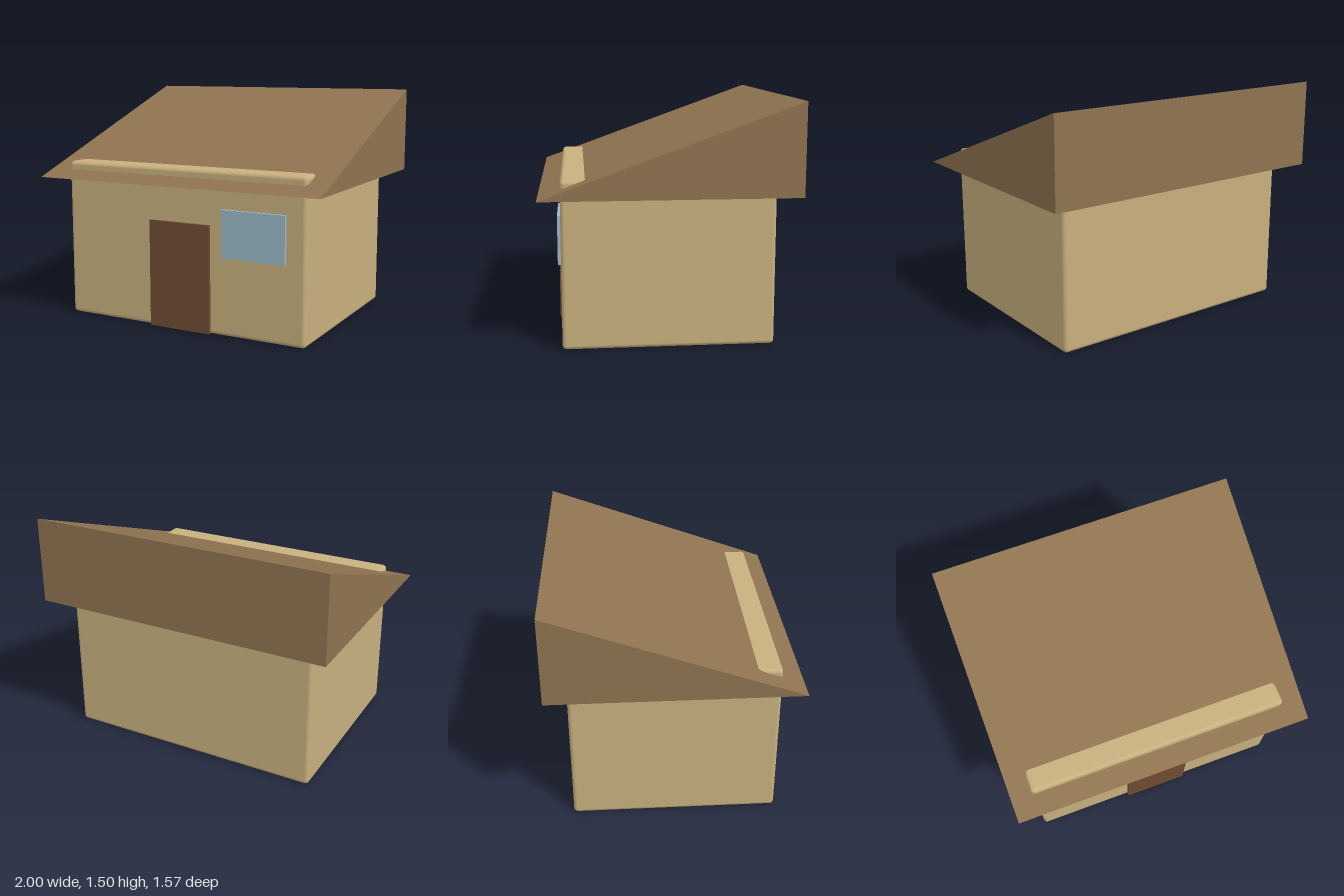
import * as THREE from 'three';
import { RoundedBoxGeometry } from 'three/addons/geometries/RoundedBoxGeometry.js';

const material = (name, color) => {
  const m = new THREE.MeshStandardMaterial({ color });
  m.name = name;
  return m;
};

export function createModel() {
  const plaster = material('sandPlaster', 0xc8b07e);
  const timber = material('roofBrown', 0x8f7350);
  const doorWood = material('darkDoorWood', 0x704b32);
  const glass = material('paleBlueGlass', 0x9ab8c8);

  const group = new THREE.Group();
  group.name = 'house';
  const add = (name, geometry, mat, x = 0, y = 0, z = 0) => {
    const mesh = new THREE.Mesh(geometry, mat);
    mesh.name = name;
    mesh.position.set(x, y, z);
    group.add(mesh);
  };

  // Soft-edged wall block; its top front edge pokes through the roof
  add('walls', new RoundedBoxGeometry(1.73, 1.04, 1.3, 3, 0.026), plaster, 0, 0.52, 0);

  // Wedge roof, low at the front and high at the back
  const profile = new THREE.Shape([
    new THREE.Vector2(-0.783, 0.938),
    new THREE.Vector2(0.783, 0.938),
    new THREE.Vector2(0.783, 1.503),
  ]);
  const roof = new THREE.ExtrudeGeometry(profile, { depth: 2, bevelEnabled: false });
  roof.translate(0, 0, -1).rotateY(Math.PI / 2);
  add('roof', roof, timber);

  // Door and window panels standing slightly proud of the front wall
  add('door', new THREE.BoxGeometry(0.434, 0.695, 0.022), doorWood, 0, 0.35, 0.66);
  add('window', new THREE.BoxGeometry(0.43, 0.303, 0.022), glass, 0.52, 0.653, 0.66);

  return group;
}
